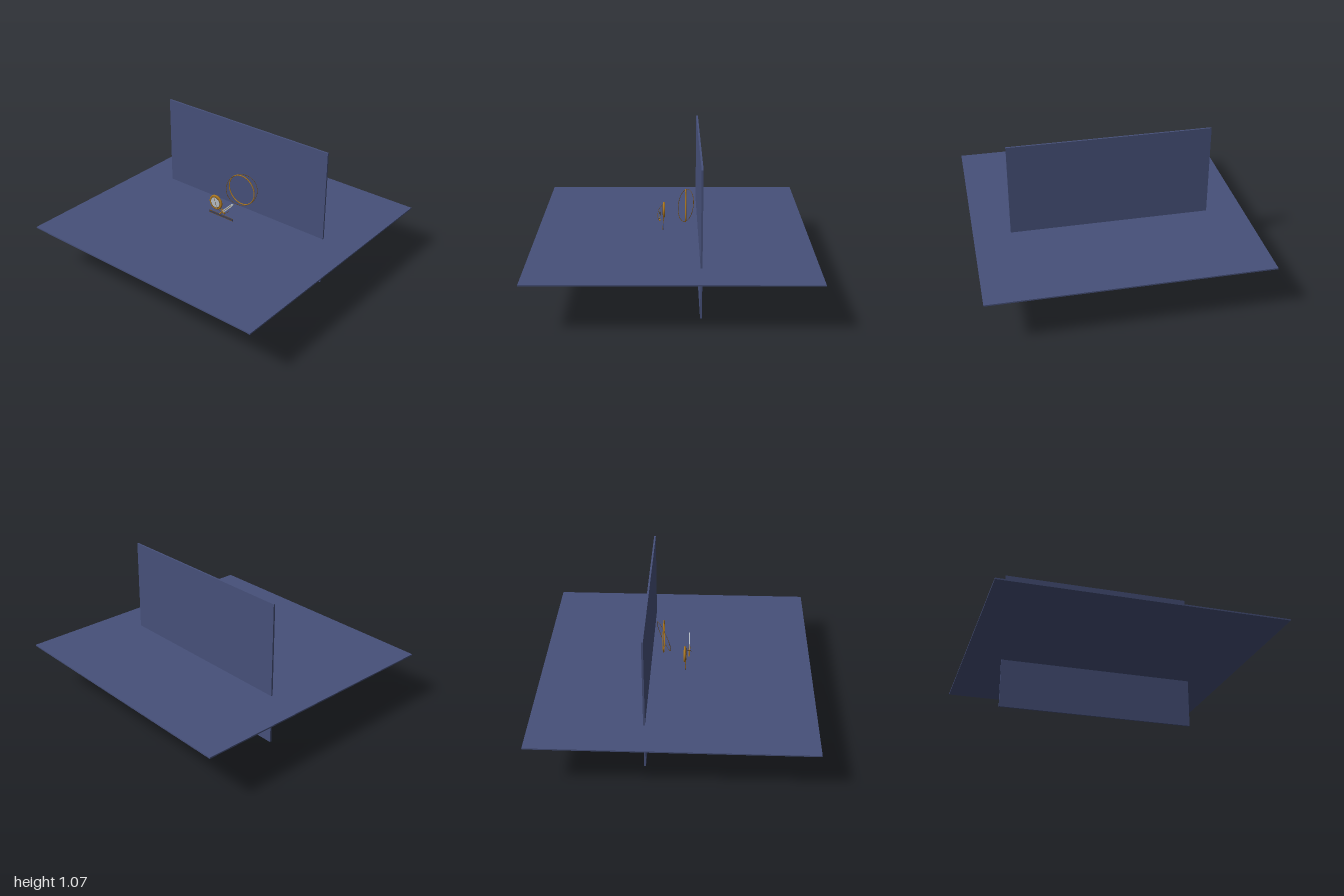
import * as THREE from 'three';

export function createModel() {
  const model = new THREE.Group();
  const mat = (name, color) => {
    const m = new THREE.MeshStandardMaterial({ color });
    m.name = name;
    return m;
  };
  const blue = mat('slate blue', 0x465079);
  const navy = mat('dark navy', 0x2b3a66);
  const gold = mat('gold', 0xa8741f);
  const bronze = mat('dark bronze', 0x6b4a1c);
  const silver = mat('pale silver', 0xb4bcc4);

  const add = (name, geometry, material, x, y, z, parent = model) => {
    const mesh = new THREE.Mesh(geometry, material);
    mesh.name = name;
    mesh.position.set(x, y, z);
    parent.add(mesh);
    return mesh;
  };
  const box = (w, h, d) => new THREE.BoxGeometry(w, h, d);

  // Crossing floor and backdrop panels
  add('floor', box(2, 0.01, 2), blue, 0, 0.37, 0);
  add('backWall', box(1.462, 1.067, 0.013), blue, 0, 0.5335, -0.199);

  // Two thin hoops, the second one tilted inside the first
  add('uprightHoop', new THREE.TorusGeometry(0.118, 0.004, 8, 64), gold, 0.056, 0.585, -0.1);
  const tilted = add('tiltedHoop', new THREE.TorusGeometry(0.119, 0.002, 6, 64), bronze, 0.056, 0.585, -0.1);
  tilted.rotation.set(-0.28, 0.4, 0);

  // Round medallion with a pale dial, rim and hands
  const medallion = new THREE.Group();
  medallion.name = 'medallion';
  medallion.position.set(-0.06, 0.51, 0.06);
  model.add(medallion);
  const disc = (name, r, depth, material, z) => {
    add(name, new THREE.CylinderGeometry(r, r, depth, 40), material, 0, 0, z, medallion).rotation.x = Math.PI / 2;
  };
  disc('case', 0.054, 0.012, gold, 0);
  disc('dial', 0.041, 0.003, silver, 0.007);
  add('rim', new THREE.TorusGeometry(0.051, 0.008, 10, 48), gold, 0, 0, 0, medallion);
  add('innerRim', new THREE.TorusGeometry(0.042, 0.002, 6, 48), bronze, 0, 0, 0.008, medallion);

  // Diagonal blade with a gold grip
  const blade = new THREE.Group();
  blade.name = 'blade';
  blade.position.set(0.065, 0.51, 0.09);
  blade.rotation.z = -Math.PI / 4;
  model.add(blade);
  const outline = new THREE.Shape([
    [-0.009, -0.045], [0.009, -0.045], [0.009, 0.07], [0, 0.096], [-0.009, 0.07],
  ].map(([x, y]) => new THREE.Vector2(x, y)));
  add('bladeBody', new THREE.ExtrudeGeometry(outline, { depth: 0.006, bevelEnabled: false }), silver, 0, 0, -0.003, blade);
  add('bladeRidge', box(0.003, 0.11, 0.008), bronze, 0, 0.01, 0, blade);
  add('guard', box(0.045, 0.007, 0.01), gold, 0, -0.046, 0, blade);
  add('grip', new THREE.CylinderGeometry(0.005, 0.005, 0.045, 12), gold, 0, -0.07, 0, blade);

  // Fine chain swinging from the medallion to the blade
  const chain = new THREE.CatmullRomCurve3([
    [-0.06, 0.545, 0.075], [-0.03, 0.52, 0.1], [0.01, 0.485, 0.106],
    [0.05, 0.47, 0.1], [0.09, 0.5, 0.092],
  ].map((p) => new THREE.Vector3(...p)));
  add('chain', new THREE.TubeGeometry(chain, 40, 0.0015, 6), bronze, 0, 0, 0);

  // Narrow striped bar under the medallion
  add('bar', box(0.226, 0.018, 0.004), navy, -0.007, 0.418, 0.066);
  for (const y of [0.411, 0.425]) {
    add('barStripe', box(0.226, 0.004, 0.006), bronze, -0.007, y, 0.066);
  }
  return model;
}
